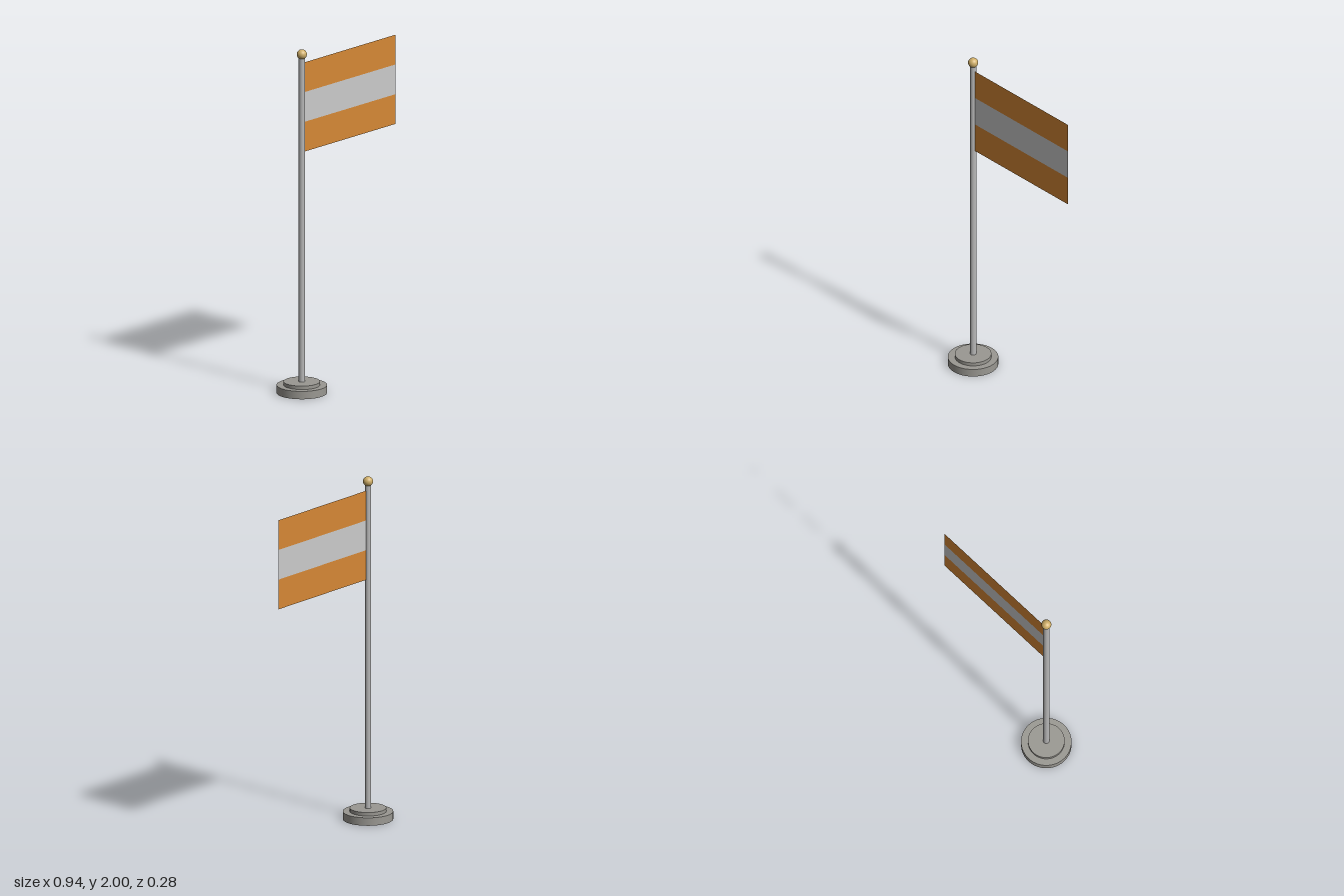
import * as THREE from 'three';

export function createModel() {
  const model = new THREE.Group();
  model.name = 'flagOnStand';

  const poleX = -0.33, poleRadius = 0.018;
  const stone = new THREE.MeshStandardMaterial({ color: 0x9a9892 });
  const metal = new THREE.MeshStandardMaterial({ color: 0xb8b8b8 });
  const gold = new THREE.MeshStandardMaterial({ color: 0xcfae68 });
  const orange = new THREE.MeshStandardMaterial({ color: 0xd68835, side: THREE.DoubleSide });
  const pale = new THREE.MeshStandardMaterial({ color: 0xd6d6d2, side: THREE.DoubleSide });

  const add = (name, geometry, material, x, y) => {
    const mesh = new THREE.Mesh(geometry, material);
    mesh.name = name;
    mesh.position.set(x, y, 0);
    model.add(mesh);
  };
  // Upright round part standing between two heights
  const addRound = (name, radius, y0, y1, material) =>
    add(name, new THREE.CylinderGeometry(radius, radius, y1 - y0, 48), material, poleX, (y0 + y1) / 2);

  // Stepped base, pole and ball on top
  addRound('base', 0.142, 0, 0.046, stone);
  addRound('baseStep', 0.103, 0.046, 0.066, stone);
  addRound('pole', poleRadius, 0.066, 1.955, metal);
  add('finial', new THREE.SphereGeometry(0.0285, 32, 20), gold, poleX, 1.9715);

  // Flat flag of three equal stripes, fixed to the side of the pole
  const left = poleX + poleRadius, right = 0.472;
  const bottom = 1.4, stripeHeight = 0.52 / 3;
  [['lowerStripe', orange], ['middleStripe', pale], ['upperStripe', orange]].forEach(([name, material], i) =>
    add(name, new THREE.PlaneGeometry(right - left, stripeHeight), material,
      (left + right) / 2, bottom + stripeHeight * (i + 0.5)));

  return model;
}
